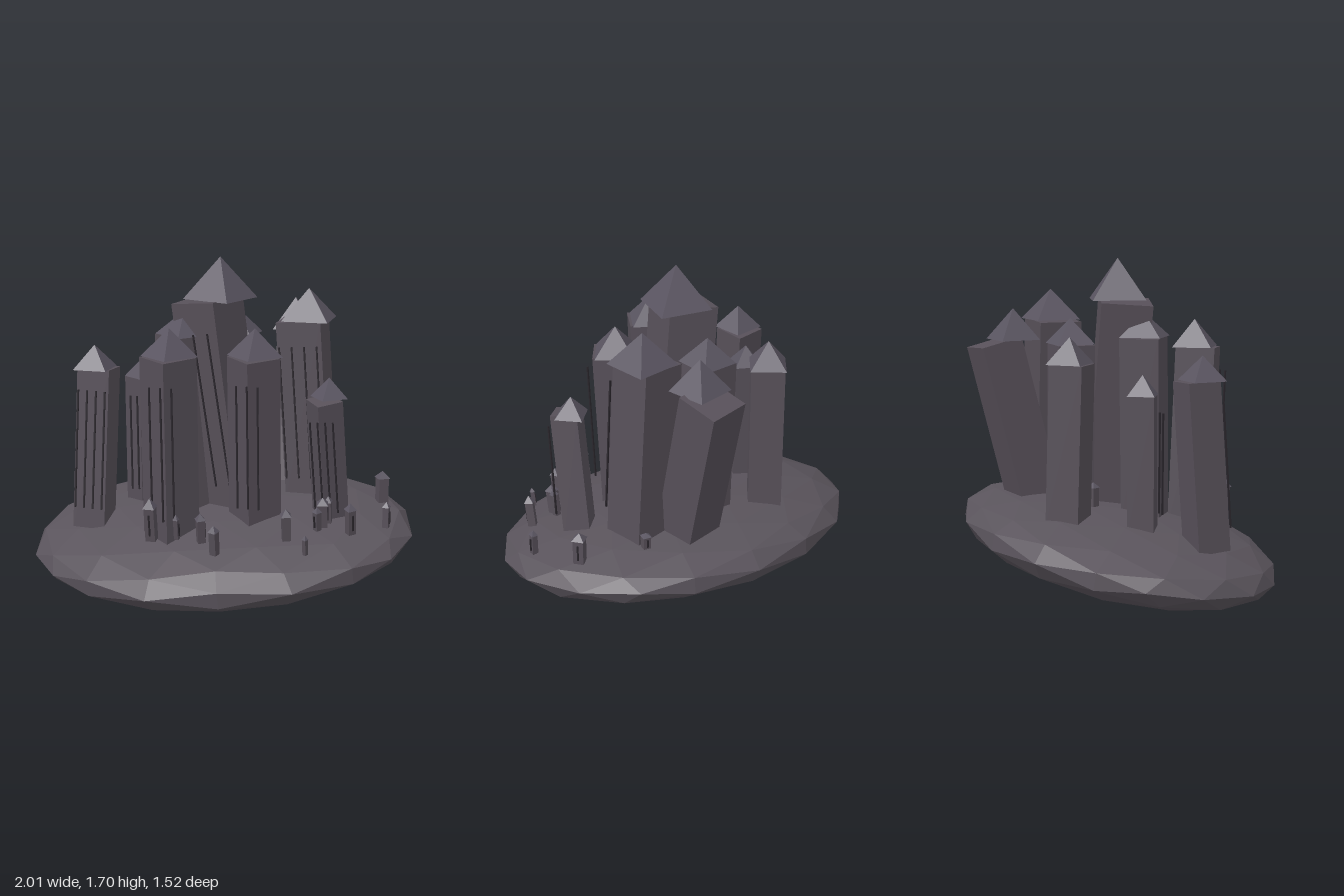
import * as THREE from 'three';

const mat = (name, color) => {
  const m = new THREE.MeshStandardMaterial({ color, flatShading: true });
  m.name = name;
  return m;
};

export function createModel() {
  const rock = mat('rock', 0x5a545c);
  const stone = mat('stone', 0x575059);
  const slate = mat('slate', 0x5a5561);
  const dark = mat('dark slit', 0x2a262c);

  const model = new THREE.Group();
  model.name = 'floatingSpires';
  const add = (parent, name, geometry, material, x = 0, y = 0, z = 0) => {
    const mesh = new THREE.Mesh(geometry, material);
    mesh.name = name;
    mesh.position.set(x, y, z);
    parent.add(mesh);
    return mesh;
  };

  // Tilted, faceted rock disc
  const facets = new THREE.IcosahedronGeometry(1, 2).rotateY(0.19);
  const island = add(model, 'island', facets, rock, 0, 0.247, 0);
  island.scale.set(1.01, 0.206, 0.78);
  island.rotation.set(0.14, 0, 0.078);

  // Approximate height of the rock's upper surface
  const ground = (x, z) =>
    0.25 + 0.07 * x - 0.13 * z + 0.2 * Math.sqrt(Math.max(0, 1 - x * x - (z / 0.76) ** 2));

  // Four-sided roof with its base edges along the axes before yaw
  const pyramid = (side, height) =>
    new THREE.ConeGeometry(side / Math.SQRT2, height, 4).rotateY(Math.PI / 4);

  // Leaning shaft, level roof and a row of slits standing at a distance before the centre
  function tower({ x, z, top, apex, w, roof, yaw = 0, lean = [0, 0], slits = 0, reach = 0 }) {
    const g = new THREE.Group();
    g.name = 'tower';
    model.add(g);
    const bottom = ground(x, z) - 0.035;
    const h = top - bottom;
    const mid = (top + bottom) / 2;
    const shaft = add(g, 'shaft', new THREE.BoxGeometry(w, h, w), stone, x, mid, z);
    shaft.rotation.set(lean[0], yaw, lean[1]);
    const cap = add(g, 'roof', pyramid(roof, apex - top), slate, x, (top + apex) / 2, z);
    cap.rotation.y = yaw;

    const row = new THREE.Group();
    row.name = 'slits';
    row.position.set(x, mid, z);
    row.rotation.set(lean[0], 0, lean[1]);
    g.add(row);
    for (let i = 0; i < slits; i++) {
      const sx = (i - (slits - 1) / 2) * w * 0.28;
      add(row, 'slit', new THREE.BoxGeometry(0.008, h * 0.74, 0.008), dark, sx, 0, reach);
    }
  }

  [
    // Central keep and the tall towers around it
    { x: 0, z: 0.01, top: 1.49, apex: 1.7, w: 0.26, roof: 0.27, yaw: -0.35, lean: [0.07, 0.13], slits: 2, reach: 0.165 },
    { x: 0.415, z: -0.19, top: 1.37, apex: 1.53, w: 0.23, roof: 0.24, yaw: 0, lean: [0, 0.07], slits: 4, reach: 0.15 },
    { x: 0.29, z: -0.45, top: 1.28, apex: 1.44, w: 0.22, roof: 0.21, yaw: 0.06, lean: [-0.235, -0.04] },
    { x: 0.03, z: -0.24, top: 1.27, apex: 1.4, w: 0.19, roof: 0.2, yaw: -0.08, lean: [0, 0.03] },
    { x: -0.17, z: 0.08, top: 1.31, apex: 1.43, w: 0.2, roof: 0.21, yaw: -0.7, lean: [0, 0.04] },
    { x: -0.27, z: -0.37, top: 1.2, apex: 1.33, w: 0.17, roof: 0.18, yaw: 0.78, lean: [0, 0.03] },
    // Front and side towers
    { x: -0.16, z: 0.37, top: 1.25, apex: 1.39, w: 0.2, roof: 0.2, yaw: -0.65, lean: [0.045, 0], slits: 3, reach: 0.135 },
    { x: 0.23, z: 0.21, top: 1.24, apex: 1.38, w: 0.19, roof: 0.2, yaw: 0.8, lean: [0.06, 0], slits: 3, reach: 0.14 },
    { x: -0.62, z: 0.17, top: 1.13, apex: 1.25, w: 0.17, roof: 0.175, yaw: 0, lean: [-0.06, -0.03], slits: 4, reach: 0.1 },
    { x: -0.44, z: -0.06, top: 1.05, apex: 1.15, w: 0.13, roof: 0.135, yaw: -0.6, lean: [0, 0.01], slits: 3, reach: 0.092 },
    { x: 0.59, z: 0.14, top: 1.04, apex: 1.14, w: 0.135, roof: 0.138, yaw: 0.65, lean: [0.13, 0.05], slits: 4, reach: 0.097 },
  ].forEach(tower);

  // Small turrets: x, z, width, height
  [
    [-0.22, 0.49, 0.05, 0.22], [-0.24, 0.46, 0.03, 0.15], [-0.09, 0.49, 0.022, 0.13],
    [0.04, 0.51, 0.038, 0.15], [0.13, 0.59, 0.036, 0.15], [0.45, 0.44, 0.042, 0.16],
    [0.56, 0.515, 0.02, 0.1], [0.6, 0.29, 0.045, 0.15], [0.58, 0.33, 0.03, 0.12],
    [0.62, 0.25, 0.03, 0.14], [0.74, 0.3, 0.04, 0.16], [0.885, 0.11, 0.03, 0.13],
    [0.82, -0.165, 0.052, 0.16], [0.545, -0.34, 0.038, 0.08], [-0.13, -0.185, 0.04, 0.12],
    [-0.3, -0.03, 0.04, 0.12],
  ].forEach(([x, z, w, h], i) => {
    const g = new THREE.Group();
    g.name = 'turret';
    const front = z > 0.2;
    g.position.set(x, ground(x, z) + (front ? 0.03 : 0), z);
    g.rotation.set(front ? 0.15 : 0, i * 0.7, 0);
    model.add(g);
    add(g, 'turretShaft', new THREE.BoxGeometry(w, h * 0.8, w), stone, 0, h * 0.4, 0);
    add(g, 'turretRoof', pyramid(w * 1.2, h * 0.22), slate, 0, h * 0.91, 0);
    add(g, 'turretSlit', new THREE.BoxGeometry(0.008, h * 0.5, 0.006), dark, 0, h * 0.4, w / 2 + 0.003);
  });

  return model;
}
